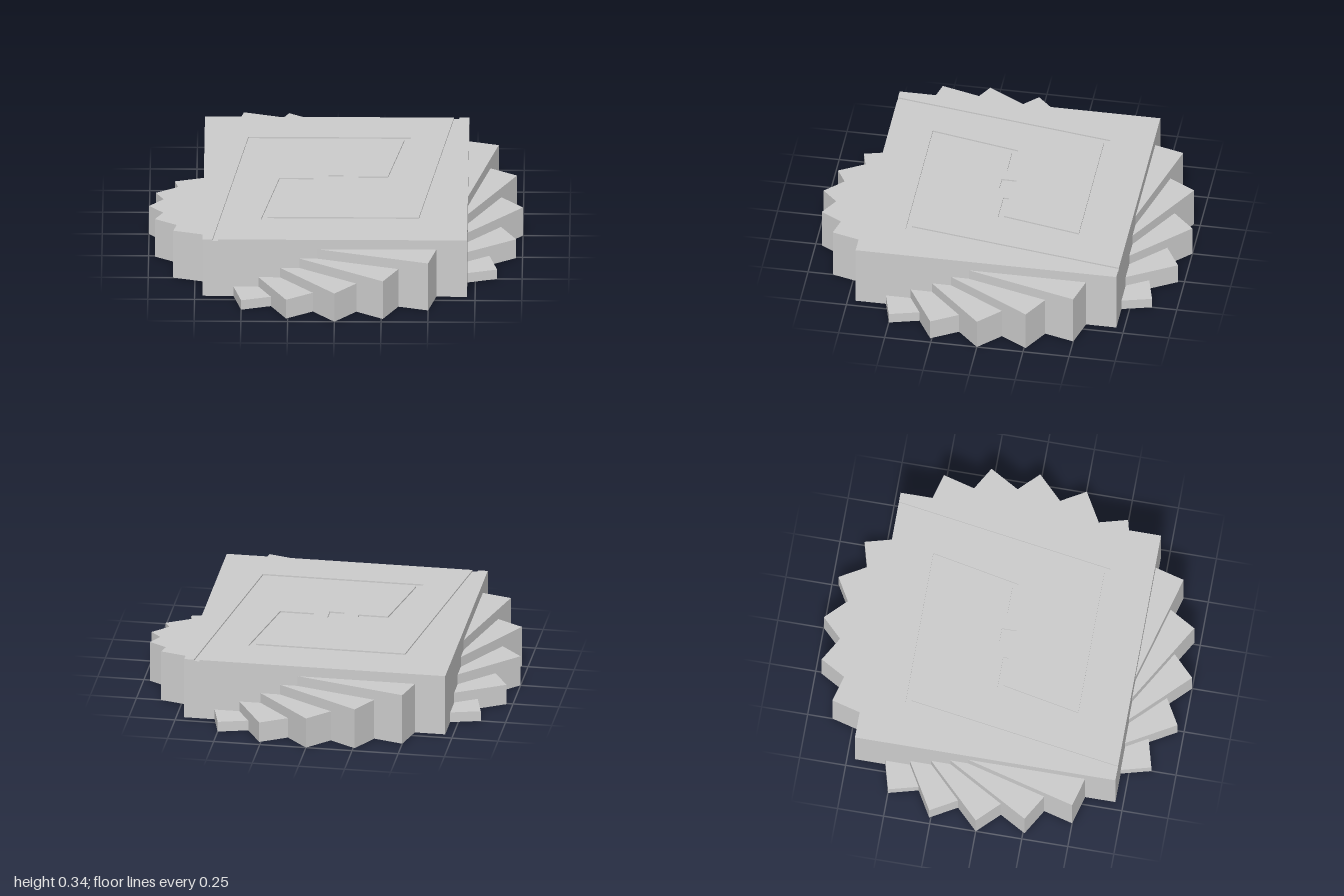
import * as THREE from 'three';

const HALF = Math.SQRT1_2;      // half side of every square tier
const STEP = 0.0567;            // rise per tier
const TIERS = 6;
const GROOVE_W = 0.03, GROOVE_D = 0.008;

// One side of a mitred strip along a path; side is +1 (left) or -1 (right)
function offsetPath(path, side) {
  const normal = (a, b) => {
    const d = b.clone().sub(a).normalize();
    return new THREE.Vector2(-d.y, d.x);
  };
  return path.map((p, i) => {
    const n0 = normal(path[Math.max(i - 1, 0)], path[Math.max(i, 1)]);
    const last = path.length - 1;
    const n1 = normal(path[Math.min(i, last - 1)], path[Math.min(i + 1, last)]);
    const miter = n0.clone().add(n1).divideScalar(1 + n0.dot(n1));
    return p.clone().addScaledVector(miter, side * GROOVE_W / 2);
  });
}

// Top skin: a square cut by two opposite spiral channels and a central recess
function topSkin() {
  const arm = [[-0.64, -HALF], [-0.46, 0.46], [0.38, 0.46], [0.29, 0.01], [0.12, 0.01]]
    .map(([x, y]) => new THREE.Vector2(x, y));
  const channel = [...offsetPath(arm, 1), ...offsetPath(arm, -1).reverse()];
  channel[0].y = channel[channel.length - 1].y = -HALF;

  const half = [new THREE.Vector2(-HALF, -HALF), ...channel, new THREE.Vector2(HALF, -HALF)];
  const shape = new THREE.Shape([...half, ...half.map(p => p.clone().negate())]);

  const c = 0.04;
  shape.holes.push(new THREE.Path([[-c, -c], [-c, c], [c, c], [c, -c]]
    .map(([x, y]) => new THREE.Vector2(x, y))));
  return new THREE.ExtrudeGeometry(shape, { depth: GROOVE_D, bevelEnabled: false })
    .rotateX(-Math.PI / 2);
}

export function createModel() {
  const model = new THREE.Group();
  model.name = 'twistedPlinth';
  const material = new THREE.MeshStandardMaterial({ color: 0xcccccc, flatShading: true });

  // Square tiers, each lower one turned a further 15 degrees
  for (let i = 0; i < TIERS; i++) {
    const height = STEP * (TIERS - i) - (i === 0 ? GROOVE_D : 0);
    const tier = new THREE.Mesh(new THREE.BoxGeometry(2 * HALF, height, 2 * HALF), material);
    tier.name = i === 0 ? 'topBlock' : `stepTier${i}`;
    tier.position.y = height / 2;
    tier.rotation.y = -i * Math.PI / 12;
    model.add(tier);
  }

  // Grooved surface on the top block
  const skin = new THREE.Mesh(topSkin(), material);
  skin.name = 'groovedTop';
  skin.position.y = STEP * TIERS - GROOVE_D;
  model.add(skin);

  return model;
}
